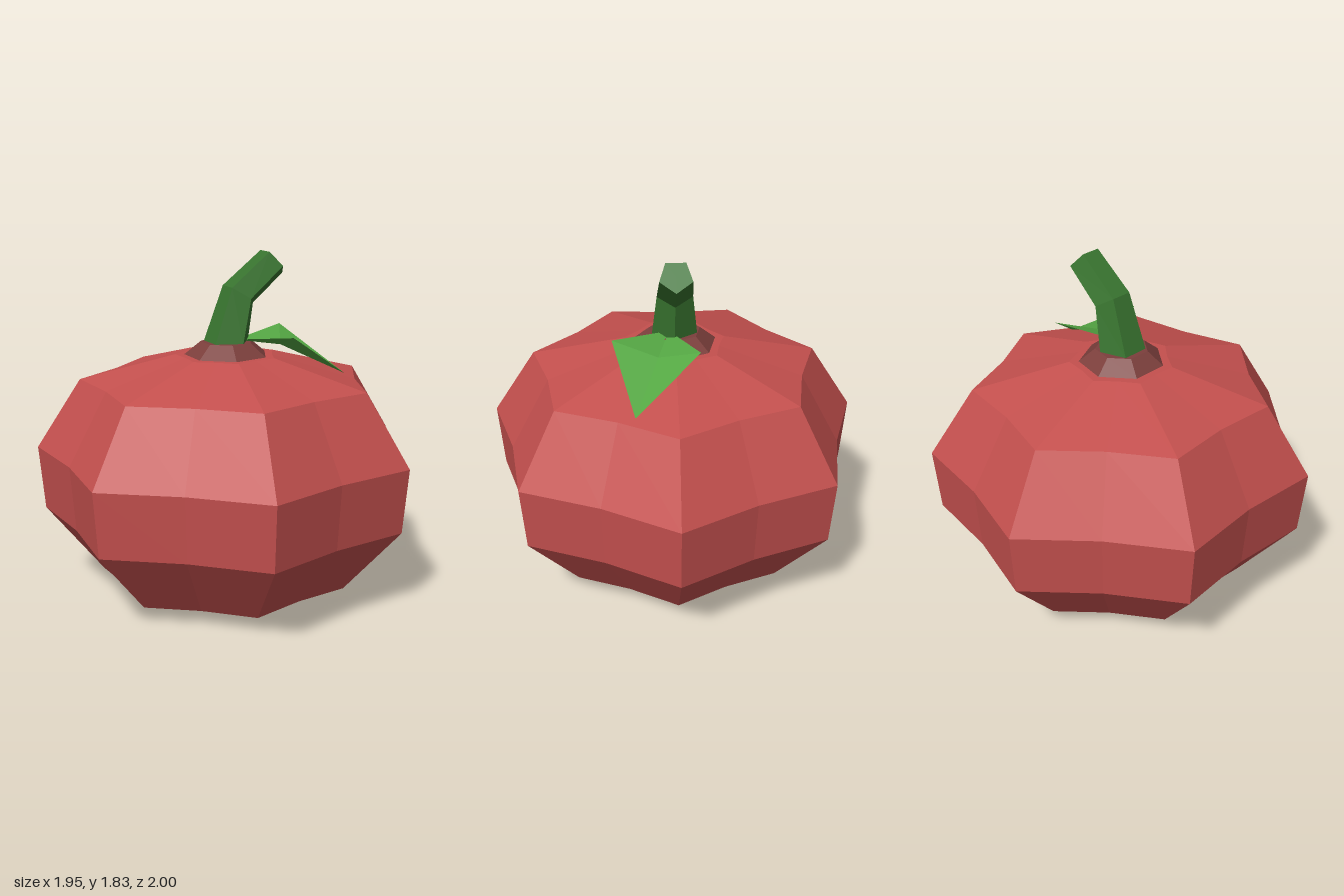
import * as THREE from 'three';

const mat = (name, color, extra = {}) => {
  const m = new THREE.MeshStandardMaterial({ color, flatShading: true, ...extra });
  m.name = name;
  return m;
};

// Ring of points around centre (x, y), tilted about z; odd points use the inner radius
function ring(sides, x, y, r, tilt = 0, dip = 1) {
  return Array.from({ length: sides }, (_, i) => {
    const a = (i / sides) * Math.PI * 2;
    const q = i % 2 ? r * dip : r;
    const c = q * Math.cos(a);
    return new THREE.Vector3(x + c * Math.cos(tilt), y + c * Math.sin(tilt), q * Math.sin(a));
  });
}

function fromTriangles(points) {
  const g = new THREE.BufferGeometry().setFromPoints(points);
  g.computeVertexNormals();
  return g;
}

// Skin a stack of rings, bottom to top, and close both ends
function loft(rings) {
  const n = rings[0].length, pts = [];
  const middle = (r) => r.reduce((s, p) => s.add(p), new THREE.Vector3()).divideScalar(n);
  const low = rings[0], high = rings[rings.length - 1];
  const lowMid = middle(low), highMid = middle(high);
  for (let i = 0; i < n; i++) {
    const j = (i + 1) % n;
    for (let k = 0; k < rings.length - 1; k++) {
      const a = rings[k], b = rings[k + 1];
      pts.push(a[i], b[i], b[j], a[i], b[j], a[j]);
    }
    pts.push(lowMid, low[i], low[j], highMid, high[j], high[i]);
  }
  return fromTriangles(pts);
}

export function createModel() {
  const group = new THREE.Group();
  const add = (name, geometry, material) => {
    const mesh = new THREE.Mesh(geometry, material);
    mesh.name = name;
    group.add(mesh);
  };
  const cx = -0.055;

  // Seven-lobed body: [height, lobe radius]
  const profile = [[0, 0.2], [0.085, 0.685], [0.445, 0.995], [0.79, 1.025], [1.165, 0.785], [1.3, 0.275]];
  add('body', loft(profile.map(([y, r]) => ring(14, cx, y, r, 0, 0.87))), mat('red skin', 0xc4504e));

  // Collar under the stem
  add('collar', loft([ring(7, cx, 1.298, 0.228), ring(7, cx, 1.37, 0.14)]), mat('dark red collar', 0x7c3f3c));

  // Bent five-sided stem
  add('stem', loft([
    ring(5, cx, 1.365, 0.125),
    ring(5, 0.017, 1.617, 0.098, -0.565),
    ring(5, 0.217, 1.781, 0.088, -0.852),
  ]), mat('dark green stem', 0x38742f));

  // Folded leaf: four facets around a sunken middle
  const v = (x, y, z) => new THREE.Vector3(x, y, z);
  const middle = v(0.22, 1.345, 0.09);
  const rim = [v(-0.02, 1.38, 0.03), v(0.17, 1.42, 0.325), v(0.55, 1.18, 0.21), v(0.325, 1.42, -0.12)];
  const facets = rim.flatMap((p, i) => [middle, p, rim[(i + 1) % 4]]);
  add('leaf', fromTriangles(facets), mat('leaf green', 0x55a844, { side: THREE.DoubleSide }));

  return group;
}
